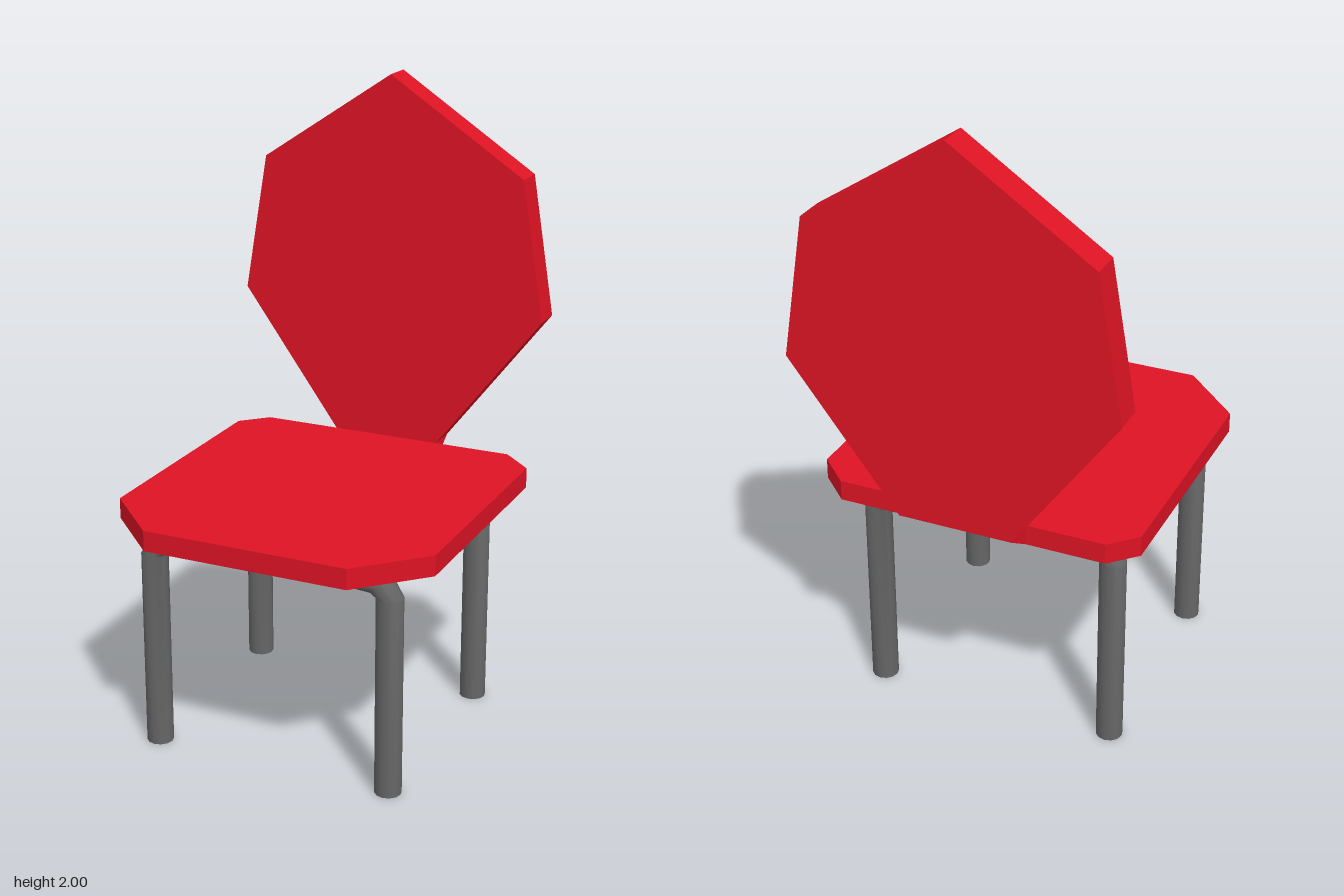
import * as THREE from 'three';
import { toCreasedNormals } from 'three/addons/utils/BufferGeometryUtils.js';

const red = new THREE.MeshStandardMaterial({ color: 0xdd1324 });
const darkGrey = new THREE.MeshStandardMaterial({ color: 0x666666 });

// Straight slab cut from an outline
function slab(points, depth) {
  const shape = new THREE.Shape(points.map(([x, y]) => new THREE.Vector2(x, y)));
  return new THREE.ExtrudeGeometry(shape, { depth, bevelEnabled: false });
}

// Bent round bar: each station is [x, y, angle of the outward normal in degrees]
function bentBar(stations, radius, sides) {
  const pos = [], index = [];
  for (const [x, y, deg] of stations) {
    const a = THREE.MathUtils.degToRad(deg);
    for (let i = 0; i < sides; i++) {
      const t = (i / sides) * Math.PI * 2;
      const r = radius * Math.cos(t);
      pos.push(x + r * Math.cos(a), y + r * Math.sin(a), radius * Math.sin(t));
    }
  }
  const last = (stations.length - 1) * sides;
  for (let s = 0; s < last; s += sides) {
    for (let i = 0; i < sides; i++) {
      const j = (i + 1) % sides;
      index.push(s + i, s + j, s + sides + i, s + j, s + sides + j, s + sides + i);
    }
  }
  // Flat feet
  for (let i = 1; i < sides - 1; i++) {
    index.push(0, i + 1, i, last, last + i, last + i + 1);
  }
  const g = new THREE.BufferGeometry();
  g.setAttribute('position', new THREE.Float32BufferAttribute(pos, 3));
  g.setIndex(index);
  return toCreasedNormals(g, 0.6);
}

export function createModel() {
  const chair = new THREE.Group();
  chair.name = 'chair';

  function add(name, geometry, material, x, y, z) {
    const mesh = new THREE.Mesh(geometry, material);
    mesh.name = name;
    mesh.position.set(x, y, z);
    chair.add(mesh);
  }

  // Seat with clipped corners, outline in x and z
  const seat = slab([
    [-0.325, 0.58], [-0.52, 0.385], [-0.52, -0.4], [-0.44, -0.48],
    [0.42, -0.48], [0.52, -0.385], [0.52, 0.385], [0.33, 0.58],
  ], 0.065).rotateX(Math.PI / 2);
  add('seat', seat, red, 0, 0.8, 0);

  // Seven-sided backrest
  const back = slab([
    [-0.19, 0.8], [0.17, 0.8], [0.52, 1.255], [0.445, 1.705],
    [-0.005, 2], [-0.445, 1.705], [-0.52, 1.255],
  ], 0.1);
  add('backrest', back, red, 0, 0, -0.58);

  // Wedge joining the seat to the backrest, profile in z and y
  const wedge = slab([[-0.48, 0.735], [-0.48, 0.8], [-0.58, 0.8]], 0.36).rotateY(-Math.PI / 2);
  add('backrestJoint', wedge, red, 0.17, 0, 0);

  // Two arched leg frames, each one bent bar
  const half = [[-0.392, 0, 180], [-0.392, 0.64, 180], [-0.364, 0.678, 135], [-0.277, 0.693, 90]];
  const mirrored = half.map(([x, y, a]) => [-x, y, 180 - a]).reverse();
  const frame = bentBar([...half, ...mirrored], 0.042, 12);
  add('frontLegs', frame, darkGrey, -0.013, 0, 0.38);
  add('backLegs', frame, darkGrey, -0.013, 0, -0.325);

  return chair;
}
